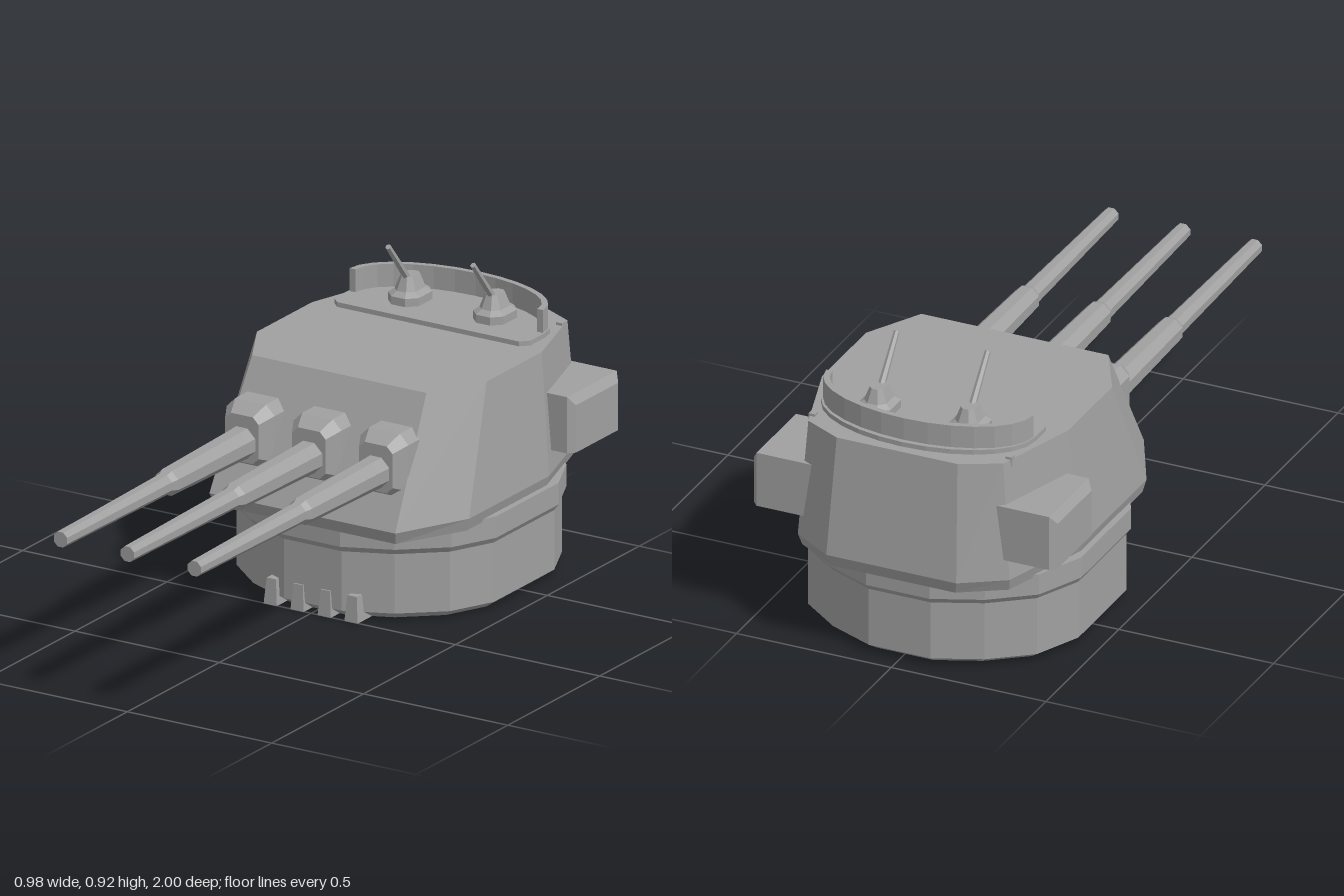
import * as THREE from 'three';

const steel = new THREE.MeshStandardMaterial({ color: 0xa0a0a0, flatShading: true });
steel.name = 'steel grey';

// Skin between equal rings of [x, y, z] points (counter-clockwise about the loft direction), with caps
function loft(rings) {
  const pos = [];
  const tri = (a, b, c) => pos.push(...a, ...b, ...c);
  const n = rings[0].length;
  for (let i = 0; i < rings.length - 1; i++) {
    for (let j = 0; j < n; j++) {
      const k = (j + 1) % n;
      tri(rings[i][j], rings[i][k], rings[i + 1][k]);
      tri(rings[i][j], rings[i + 1][k], rings[i + 1][j]);
    }
  }
  const bottom = rings[0], top = rings[rings.length - 1];
  for (let j = 1; j < n - 1; j++) {
    tri(bottom[0], bottom[j + 1], bottom[j]);
    tri(top[0], top[j], top[j + 1]);
  }
  const geo = new THREE.BufferGeometry();
  geo.setAttribute('position', new THREE.Float32BufferAttribute(pos, 3));
  geo.computeVertexNormals();
  return geo;
}

// Full outline from its +x half, listed front to back
const mirrored = (half) => [...half, ...half.map(([x, z]) => [-x, z]).reverse()];
const level = (half, y) => mirrored(half).map(([x, z]) => [x, y, z]);

// Rectangle with cut corners, centred on the origin
const cutRect = (w, h, c) => [
  [w - c, -h], [w, -h + c], [w, h - c], [w - c, h],
  [-w + c, h], [-w, h - c], [-w, -h + c], [-w + c, -h],
];

// Plate from a plan outline of [x, z] points
function plate(points, y, height) {
  const shape = new THREE.Shape(points.map(([x, z]) => new THREE.Vector2(x, -z)));
  const geo = new THREE.ExtrudeGeometry(shape, { depth: height, bevelEnabled: false });
  return geo.rotateX(-Math.PI / 2).translate(0, y, 0);
}

// Rear arc of the gun platform, scaled outward or inward
function arc(rx, rz, steps = 14) {
  return Array.from({ length: steps + 1 }, (_, i) => {
    const a = (Math.PI * i) / steps;
    return [rx * Math.cos(a), -0.735 - rz * Math.sin(a)];
  });
}

export function createModel() {
  const model = new THREE.Group();
  model.name = 'gunTurret';
  const add = (name, geo, parent = model) => {
    const mesh = new THREE.Mesh(geo, steel);
    mesh.name = name;
    parent.add(mesh);
    return mesh;
  };

  // Barbette: faceted drum with a bevelled foot and a wider collar
  const drum = [[0.1, 0.467], [0.245, 0.405], [0.37, 0.3], [0.435, 0.165],
    [0.435, -0.165], [0.37, -0.31], [0.245, -0.405], [0.1, -0.467]];
  const drumRing = (y, s) => level(drum.map(([x, z]) => [x * s, z * s - 0.475]), y);
  add('barbette', loft([drumRing(0, 0.92), drumRing(0.025, 1), drumRing(0.21, 1),
    drumRing(0.228, 1.027), drumRing(0.295, 1.027)]));

  // Foot ribs on the front of the barbette
  for (const x of [-0.14, -0.047, 0.047, 0.14]) {
    const ring = (y, w, front) => [[x - w, y, front], [x + w, y, front], [x + w, y, -0.1], [x - w, y, -0.1]];
    add('footRib', loft([ring(0, 0.023, 0.003), ring(0.08, 0.016, -0.003)]));
  }

  // Armoured house: undercut skirt, sloping walls, flat roof
  add('house', loft([
    level([[0.312, 0.03], [0.425, -0.18], [0.425, -0.61], [0.335, -0.9], [0.2, -0.985]], 0.285),
    level([[0.322, 0.048], [0.436, -0.175], [0.436, -0.61], [0.342, -0.915], [0.21, -1]], 0.325),
    level([[0.302, -0.153], [0.398, -0.33], [0.398, -0.63], [0.315, -0.9], [0.195, -0.96]], 0.697),
  ]));

  // Rangefinder ears on both sides
  for (const side of [1, -1]) {
    const ring = (x, inset) => [[0.39, -0.135 + inset], [0.565 - inset * 1.4, -0.135 + inset],
      [0.565 - inset * 1.4, 0.135 - inset], [0.39, 0.135 - inset]].map(([y, z]) => [x, y, z]);
    const ear = add('rangefinderEar', loft([ring(0.27, 0), ring(0.473, 0), ring(0.491, 0.02)]));
    ear.position.z = -0.785;
    if (side < 0) ear.rotation.y = Math.PI;
  }

  // Main guns: bevelled mantlet and stepped octagonal barrel
  for (const x of [-0.232, 0, 0.232]) {
    const gun = new THREE.Group();
    gun.name = 'mainGun';
    gun.position.set(x, 0.49, 0);
    model.add(gun);
    const ring = (z, w, h, c) => cutRect(w, h, c).map(([px, py]) => [px, py + 0.012, z]);
    add('mantlet', loft([ring(-0.15, 0.083, 0.101, 0.03), ring(-0.035, 0.083, 0.101, 0.03),
      ring(0.013, 0.058, 0.073, 0.02)]), gun);
    const profile = [[0, -0.02], [0.052, -0.02], [0.049, 0.06], [0.042, 0.42], [0.033, 0.44],
      [0.025, 1], [0, 1]].map(([r, z]) => new THREE.Vector2(r, z));
    add('barrel', new THREE.LatheGeometry(profile, 8, Math.PI / 8).rotateX(Math.PI / 2), gun);
  }

  // Roof platform with its curved splinter shield
  add('platform', plate([[0.315, -0.635], [0.34, -0.66], ...arc(0.34, 0.195),
    [-0.34, -0.66], [-0.315, -0.635]], 0.69, 0.022));
  add('splinterShield', plate([...arc(0.335, 0.18), ...arc(0.315, 0.162).reverse()], 0.705, 0.078));
  for (const x of [-0.318, 0.318]) {
    add('platformBracket', new THREE.BoxGeometry(0.02, 0.03, 0.02).translate(x, 0.69, -0.86));
  }

  // Light guns: tapered octagonal mounts with raised barrels
  const from = new THREE.Vector3(0, 0.77, -0.765), to = new THREE.Vector3(0, 0.912, -0.65);
  for (const x of [-0.147, 0.147]) {
    const light = new THREE.Group();
    light.name = 'lightGun';
    light.position.x = x;
    model.add(light);
    const ring = (y, w, d, z = -0.77) => cutRect(d, w, w * 0.55).map(([a, b]) => [b, y, a + z]);
    add('mount', loft([ring(0.705, 0.053, 0.066), ring(0.737, 0.053, 0.066),
      ring(0.75, 0.036, 0.048), ring(0.792, 0.021, 0.032)]), light);
    const barrel = add('lightBarrel', new THREE.CylinderGeometry(0.009, 0.012, from.distanceTo(to), 6), light);
    barrel.position.copy(from).lerp(to, 0.5);
    barrel.quaternion.setFromUnitVectors(new THREE.Vector3(0, 1, 0), to.clone().sub(from).normalize());
  }
  return model;
}
